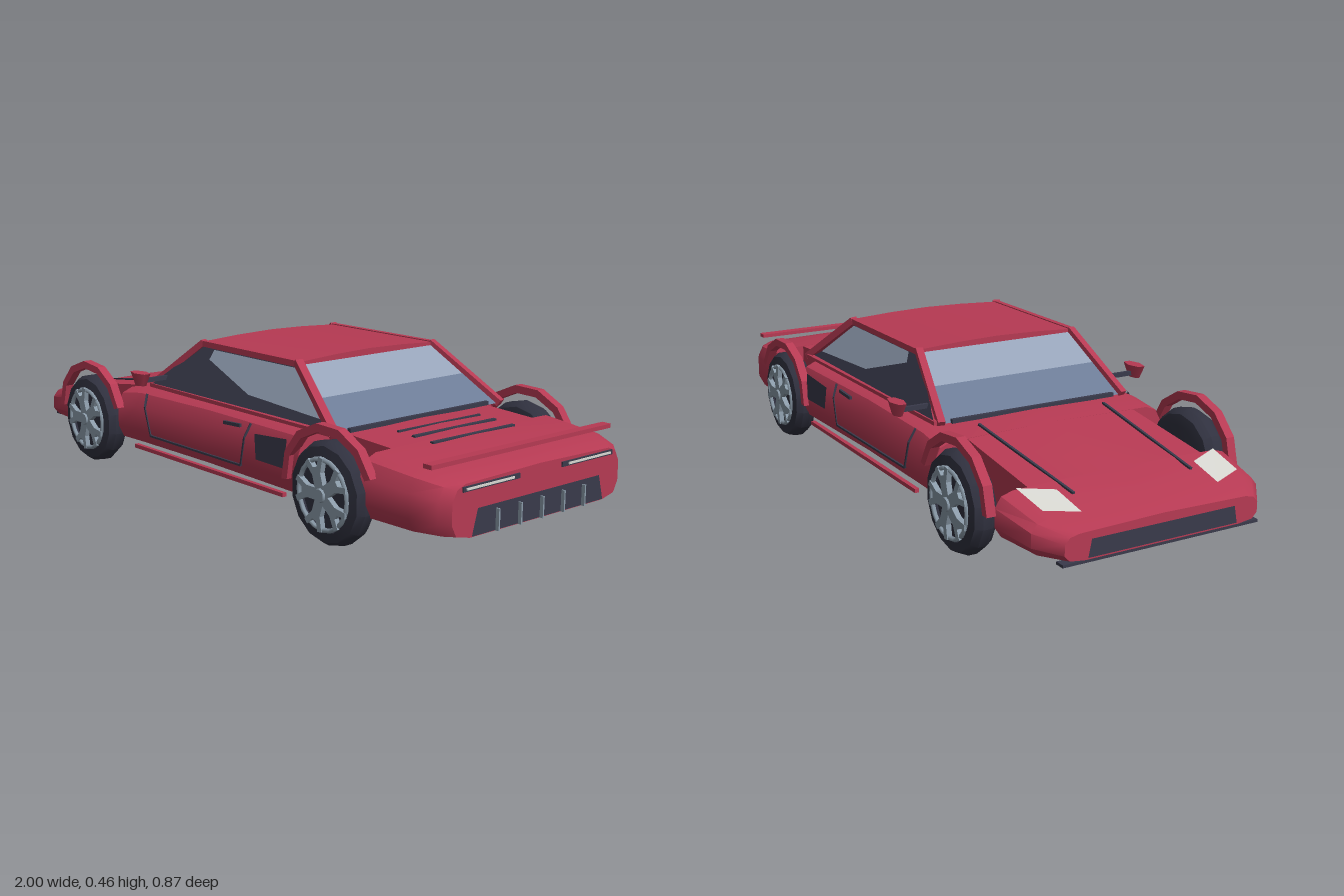
import * as THREE from 'three';
import { toCreasedNormals } from 'three/addons/utils/BufferGeometryUtils.js';

const V = (x, y, z) => new THREE.Vector3(x, y, z);

function mat(name, color, double = false) {
  const m = new THREE.MeshStandardMaterial({ color });
  m.name = name;
  if (double) m.side = THREE.DoubleSide;
  return m;
}

// Closed loft through rings of points, with fan caps
function loft(rings) {
  const n = rings[0].length, pos = [];
  const tri = (...p) => p.forEach(v => pos.push(v.x, v.y, v.z));
  for (let i = 0; i < rings.length - 1; i++) {
    for (let j = 0; j < n; j++) {
      const k = (j + 1) % n;
      const a = rings[i][j], b = rings[i][k], c = rings[i + 1][k], d = rings[i + 1][j];
      tri(a, d, c);
      tri(a, c, b);
    }
  }
  const cap = (ring, flip) => {
    const mid = ring.reduce((s, p) => s.add(p), V(0, 0, 0)).divideScalar(n);
    ring.forEach((p, j) => {
      const q = ring[(j + 1) % n];
      flip ? tri(mid, q, p) : tri(mid, p, q);
    });
  };
  cap(rings[0], false);
  cap(rings[rings.length - 1], true);
  const g = new THREE.BufferGeometry();
  g.setAttribute('position', new THREE.Float32BufferAttribute(pos, 3));
  return toCreasedNormals(g, 0.65);
}

export function createModel() {
  const car = new THREE.Group();
  car.name = 'car';
  const red = mat('red paint', 0xb63a53, true);
  const dark = mat('dark trim', 0x393a4b, true);
  const tyreMat = mat('tyre rubber', 0x30313f);
  const silver = mat('silver metal', 0x8a9aa8);
  const glassLight = mat('light glass', 0x96a3b8, true);
  const glassDark = mat('deep glass', 0x6c7b96, true);
  const lamp = mat('lamp white', 0xd8d8d2, true);

  const add = (name, geo, m, parent = car) => {
    const mesh = new THREE.Mesh(geo, m);
    mesh.name = name;
    parent.add(mesh);
    return mesh;
  };
  const box = (name, w, h, d, x, y, z, m, parent) => {
    const b = add(name, new THREE.BoxGeometry(w, h, d), m, parent);
    b.position.set(x, y, z);
    return b;
  };
  // Straight bar between two points
  const bar = (name, a, b, w, h, m) => {
    const r = box(name, w, h, a.distanceTo(b), 0, 0, 0, m);
    r.position.copy(a).lerp(b, 0.5);
    r.lookAt(b);
    return r;
  };
  // Thin flat panel through convex corner points
  const panel = (name, pts, m) => {
    const pos = [];
    for (let i = 1; i < pts.length - 1; i++) {
      for (const p of [pts[0], pts[i], pts[i + 1]]) pos.push(p.x, p.y, p.z);
    }
    const g = new THREE.BufferGeometry();
    g.setAttribute('position', new THREE.Float32BufferAttribute(pos, 3));
    g.computeVertexNormals();
    return add(name, g, m);
  };

  // Body stations: x, half width, top height, wheel well flag
  const well = 0.285;
  const stations = [
    [-1, 0.31, 0.165], [-0.93, 0.365, 0.19], [-0.785, 0.385, 0.222],
    [-0.785, 0.385, 0.222, 1], [-0.465, 0.39, 0.264, 1],
    [-0.465, 0.39, 0.264], [-0.36, 0.388, 0.28], [0, 0.385, 0.285], [0.46, 0.398, 0.285],
    [0.46, 0.398, 0.285, 1], [0.71, 0.4, 0.273, 1],
    [0.71, 0.4, 0.273], [0.88, 0.39, 0.258], [0.955, 0.36, 0.243], [0.98, 0.335, 0.235],
  ];
  const section = [[0.8, 0], [0.95, 0.08], [1, 0.3], [1, 0.7], [0.95, 0.92], [0.86, 1]];
  const floor = 0.09;
  const rings = stations.map(([x, w, top, cut]) => {
    const half = section.map(([f, t]) =>
      V(x, floor + t * (top - floor), cut ? Math.min(w * f, well) : w * f));
    const other = half.map(p => V(p.x, p.y, -p.z)).reverse();
    return [V(x, floor, 0), ...half, V(x, top + 0.006, 0), ...other];
  });
  add('body', loft(rings), red);

  const topAt = x => {
    const i = Math.max(1, stations.findIndex(s => s[0] >= x));
    const a = stations[i - 1], b = stations[i];
    return a[2] + (b[2] - a[2]) * (x - a[0]) / (b[0] - a[0]);
  };
  const onTop = (x, z) => V(x, topAt(x) + 0.008, z);

  // Roof with a slight crown
  const roofRing = x => [V(x, 0.435, 0), V(x, 0.435, 0.268), V(x, 0.449, 0.262),
    V(x, 0.456, 0.13), V(x, 0.459, 0), V(x, 0.456, -0.13), V(x, 0.449, -0.262), V(x, 0.435, -0.268)];
  add('roof', loft([roofRing(-0.15), roofRing(0.315)]), red);

  // Windscreen and rear window, each in two tones
  const screen = (name, x0, w0, x1, w1) => {
    const y0 = 0.283, y1 = 0.443, k = 0.5;
    const xm = x0 + (x1 - x0) * k, wm = w0 + (w1 - w0) * k, ym = y0 + (y1 - y0) * k;
    panel(name + 'Lower', [V(x0, y0, w0), V(x0, y0, -w0), V(xm, ym, -wm), V(xm, ym, wm)], glassDark);
    panel(name + 'Upper', [V(xm, ym, wm), V(xm, ym, -wm), V(x1, y1, -w1), V(x1, y1, w1)], glassLight);
  };
  screen('windscreen', -0.365, 0.305, -0.145, 0.258);
  screen('rearWindow', 0.535, 0.325, 0.31, 0.258);
  box('windscreenSeal', 0.012, 0.012, 0.56, -0.365, 0.287, 0, dark);
  box('rearWindowSeal', 0.012, 0.012, 0.56, 0.535, 0.29, 0, dark);

  for (const s of [1, -1]) {
    const P = (x, y, z) => V(x, y, s * z);

    // Cabin frame
    bar('frontPillar', P(-0.37, 0.285, 0.315), P(-0.145, 0.447, 0.268), 0.022, 0.02, red);
    bar('rearPillar', P(0.54, 0.283, 0.335), P(0.305, 0.447, 0.268), 0.024, 0.022, red);
    bar('roofRail', P(-0.15, 0.443, 0.27), P(0.315, 0.443, 0.27), 0.018, 0.018, red);
    bar('windowSill', P(-0.36, 0.287, 0.325), P(0.53, 0.287, 0.338), 0.018, 0.012, red);

    // Side window: dark front part, pale rear part
    const side = (x, y) => P(x, y, 0.333 - (y - 0.285) * 0.41);
    panel('sideWindowFront', [side(-0.36, 0.285), side(-0.15, 0.44), side(-0.1, 0.4),
      side(0.13, 0.33), side(0.18, 0.285)], dark);
    panel('sideWindowRear', [side(0.13, 0.33), side(-0.1, 0.4), side(-0.09, 0.43),
      side(0.3, 0.43), side(0.46, 0.315)], glassLight);
    panel('sideWindowTop', [side(-0.1, 0.4), side(-0.15, 0.44), side(0.31, 0.44),
      side(0.3, 0.43), side(-0.09, 0.43)], dark);
    panel('sideWindowLower', [side(0.18, 0.285), side(0.13, 0.33), side(0.46, 0.315),
      side(0.52, 0.285)], dark);

    // Door gaps, handle and air intake
    const door = [P(-0.32, 0.268, 0.372), P(-0.31, 0.228, 0.388), P(-0.28, 0.14, 0.388),
      P(0.19, 0.14, 0.39), P(0.21, 0.228, 0.391), P(0.22, 0.268, 0.375)];
    for (let i = 0; i < door.length - 1; i++) bar('doorGap', door[i], door[i + 1], 0.006, 0.006, dark);
    bar('doorHandle', P(0.1, 0.252, 0.382), P(0.18, 0.256, 0.382), 0.008, 0.01, dark);
    panel('sideIntake', [P(0.26, 0.248, 0.394), P(0.41, 0.26, 0.398),
      P(0.4, 0.175, 0.402), P(0.27, 0.175, 0.398)], dark);
    bar('sideSkirt', P(-0.36, 0.095, 0.39), P(0.39, 0.095, 0.39), 0.014, 0.012, red);

    // Bonnet line, headlight and tail light
    bar('bonnetLine', onTop(-0.86, s * 0.192), onTop(-0.41, s * 0.215), 0.008, 0.006, dark);
    panel('headlight', [onTop(-0.94, s * 0.22), onTop(-0.905, s * 0.316),
      onTop(-0.79, s * 0.325), onTop(-0.83, s * 0.225)], lamp);
    box('tailLightFrame', 0.006, 0.014, 0.215, 0.981, 0.222, s * 0.193, dark);
    box('tailLight', 0.006, 0.006, 0.18, 0.984, 0.222, s * 0.2, lamp);

    // Door mirror
    bar('mirrorStem', P(-0.29, 0.32, 0.3), P(-0.29, 0.32, 0.41), 0.01, 0.014, dark);
    const mirror = add('mirror', new THREE.CylinderGeometry(0.022, 0.012, 0.045, 6), red);
    mirror.position.set(-0.29, 0.327, s * 0.415);
    mirror.scale.set(2.1, 0.9, 1);

    // Wheel arches
    for (const [cx, tilt] of [[-0.61, -0.06], [0.59, 0.02]]) {
      const outer = [], inner = [];
      for (let i = 0; i <= 6; i++) {
        const a = Math.PI * (1.02 - i / 6 * 0.92) + tilt;
        outer.push(new THREE.Vector2(cx + Math.cos(a) * 0.185, 0.165 + Math.sin(a) * 0.172));
        inner.unshift(new THREE.Vector2(cx + Math.cos(a) * 0.162, 0.165 + Math.sin(a) * 0.148));
      }
      const g = new THREE.ExtrudeGeometry(new THREE.Shape([...outer, ...inner]),
        { depth: 0.028, bevelEnabled: false });
      add('wheelArch', g, red).position.z = s > 0 ? 0.386 : -0.414;
    }

    // Wheels
    for (const cx of [-0.61, 0.59]) {
      const wheel = new THREE.Group();
      wheel.name = 'wheel';
      wheel.position.set(cx, 0.145, s * 0.385);
      wheel.rotation.y = s > 0 ? 0 : Math.PI;
      car.add(wheel);
      const profile = [[0, -0.035], [0.1, -0.04], [0.132, -0.034], [0.146, -0.012],
        [0.146, 0.014], [0.134, 0.034], [0.106, 0.038], [0.098, 0.024], [0, 0.024]];
      const tyre = new THREE.LatheGeometry(profile.map(p => new THREE.Vector2(...p)), 14);
      tyre.rotateX(Math.PI / 2);
      add('tyre', toCreasedNormals(tyre, 0.6), tyreMat, wheel);
      add('rimRing', new THREE.TorusGeometry(0.098, 0.007, 5, 20), silver, wheel).position.z = 0.038;
      for (let i = 0; i < 5; i++) {
        const spoke = new THREE.Group();
        spoke.name = 'spoke';
        spoke.rotation.z = i * Math.PI * 0.4 + 0.3;
        wheel.add(spoke);
        box('spokeStem', 0.034, 0.065, 0.016, 0, 0.045, 0.038, silver, spoke);
        for (const k of [-1, 1]) {
          box('spokeFork', 0.017, 0.048, 0.016, k * 0.018, 0.078, 0.038, silver, spoke).rotation.z = -k * 0.5;
        }
      }
      const hub = add('hub', new THREE.CylinderGeometry(0.018, 0.026, 0.02, 10), silver, wheel);
      hub.rotation.x = Math.PI / 2;
      hub.position.z = 0.042;
    }
  }

  // Rear grille with bars, deck slots and spoiler
  panel('rearGrille', [V(0.984, 0.093, 0.265), V(0.984, 0.093, -0.265),
    V(0.984, 0.165, -0.245), V(0.984, 0.165, 0.245)], dark);
  for (let i = -2; i <= 2; i++) box('grilleBar', 0.012, 0.06, 0.005, 0.989, 0.122, i * 0.087, silver);
  for (const [x, w] of [[0.61, 0.007], [0.67, 0.013], [0.74, 0.013]]) {
    box('deckSlot', w, 0.006, 0.33, x, topAt(x) + 0.005, 0, dark);
  }
  box('spoiler', 0.03, 0.012, 0.72, 0.915, 0.278, 0, red);

  // Nose grille and front lip
  panel('noseGrille', [V(-1.002, 0.095, 0.24), V(-1.002, 0.095, -0.24),
    V(-1.002, 0.145, -0.23), V(-1.002, 0.145, 0.23)], dark);
  box('frontLip', 0.03, 0.008, 0.63, -0.985, 0.086, 0, dark);

  return car;
}
